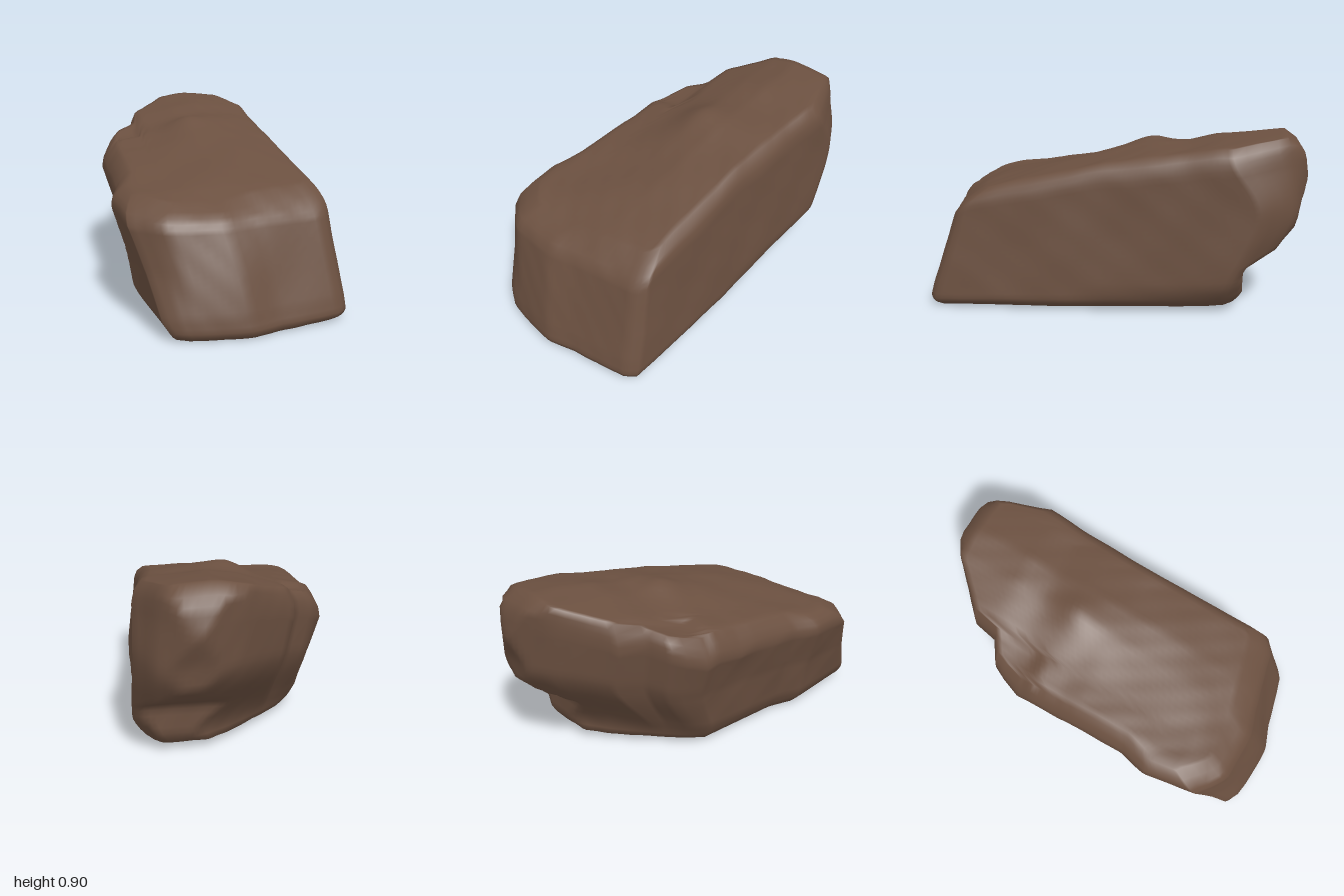
import * as THREE from 'three';
import { mergeVertices } from 'three/addons/utils/BufferGeometryUtils.js';

// Piecewise-linear curve through [position, value] pairs in ascending order
function curve(...pts) {
  return (p) => {
    if (p <= pts[0][0]) return pts[0][1];
    for (let i = 1; i < pts.length; i++) {
      const [a, va] = pts[i - 1], [b, vb] = pts[i];
      if (p <= b) return va + (vb - va) * (p - a) / (b - a);
    }
    return pts[pts.length - 1][1];
  };
}
const { lerp, clamp, smoothstep } = THREE.MathUtils;

// Front and back faces: z by height (0 bottom to 1 top), and z set-back by x
const frontByHeight = curve([0, 0.97], [0.05, 1], [0.2, 0.98], [0.5, 0.925], [0.85, 0.86], [0.94, 0.82], [1, 0.74]);
const frontInset = curve([-0.46, 0.06], [-0.4, 0.03], [-0.2, 0.01], [-0.05, 0], [0.1, 0.04], [0.45, 0.1], [0.5, 0.14]);
const backByHeight = curve([0, -0.65], [0.06, -0.69], [0.26, -0.69], [0.31, -0.78], [0.36, -0.87], [0.46, -0.95],
  [0.6, -0.96], [0.8, -1], [0.95, -0.96], [1, -0.88]);
const backOutline = curve([-0.46, -0.33], [-0.44, -0.4], [-0.4, -0.48], [-0.28, -0.55], [-0.25, -0.68], [0, -0.9],
  [0.13, -0.97], [0.2, -1], [0.27, -0.99], [0.4, -0.93], [0.5, -0.76]);
const baseOutline = curve([-0.46, -0.2], [-0.4, -0.27], [-0.3, -0.35], [-0.15, -0.46], [0, -0.56], [0.15, -0.65],
  [0.25, -0.69], [0.4, -0.69], [0.5, -0.6]);

// Left and right flanks
const rightFlank = curve([-1, 0.51], [0, 0.51], [0.86, 0.525]);
const rightInset = curve([0, 0.04], [0.05, 0], [0.5, 0.01], [0.9, 0.015], [0.96, 0.03], [1, 0.06]);
const rightUndercut = curve([-0.6, 0.06], [-0.2, 0.03], [0.2, 0]);
const leftFlank = curve([-1, -0.46], [-0.45, -0.46], [-0.25, -0.47], [0.3, -0.48], [0.45, -0.52], [0.7, -0.49], [0.95, -0.46]);
const leftInset = curve([0, 0.16], [0.05, 0.13], [0.15, 0.1], [0.5, 0.06], [0.85, 0], [0.94, 0.01], [1, 0.06]);

// Sloping top, its fall to either side, and the underside
const topHeight = curve([-1, 0.84], [-0.96, 0.88], [-0.89, 0.895], [-0.55, 0.86], [-0.4, 0.825], [-0.23, 0.805],
  [0, 0.765], [0.6, 0.615], [0.75, 0.56]);
const topFall = curve([-0.47, 0.16], [-0.4, 0.11], [-0.25, 0.085], [-0.1, 0.045], [0, 0.02], [0.15, 0], [0.4, 0.02], [0.5, 0.04]);
const underside = curve([-0.7, 0.05], [-0.5, 0.03], [0, 0.02], [0.6, 0.01], [1, 0]);

// Soft weathering, a smooth repeatable wobble
function wobble(x, y, z) {
  return 0.5 * Math.sin(7 * x + 5 * z + 1) * Math.sin(9 * y - 4 * z) +
    0.35 * Math.sin(15 * z + 8 * y + 2) * Math.sin(13 * x - 6 * y) +
    0.25 * Math.abs(Math.sin(21 * x + 17 * y - 11 * z));
}

function boulderGeometry() {
  const geo = new THREE.BoxGeometry(1, 1, 1, 32, 26, 48);
  const pos = geo.attributes.position;
  for (let i = 0; i < pos.count; i++) {
    const u = pos.getX(i) + 0.5, t = pos.getY(i) + 0.5, w = pos.getZ(i) + 0.5;
    const across = lerp(-0.46, 0.5, u);

    // Place along the length: front chamfered at its upper right-hand corner,
    // back slanting in towards the ground and chamfered at its upper left corner
    const front = frontByHeight(t) - frontInset(across) - 0.09 * t * smoothstep(-across, 0.3, 0.46);
    const outline = lerp(baseOutline(across), backOutline(across), smoothstep(t, 0, 0.6)) +
      0.14 * smoothstep(t, 0.6, 1) * smoothstep(across, 0.3, 0.5);
    const back = Math.max(backByHeight(t), outline);
    const z = lerp(back, front, w);

    // Place across, one flank leaning in at the front and curling under at the back
    const lean = 0.04 * t * smoothstep(z, -0.8, 0);
    const undercut = rightUndercut(z) * (1 - smoothstep(t, 0, 0.18));
    const x = lerp(leftFlank(z) + leftInset(t), rightFlank(z) - rightInset(t) - lean - undercut, u);

    // Place up, with a broken shelf at the back of the -x side and a knob in the middle
    let top = topHeight(z) - topFall(x) * clamp((0.8 - z) / 0.9, 0, 1);
    top -= 0.025 * smoothstep(-x, 0.2, 0.26) * smoothstep(-z, 0.24, 0.32);
    top += 0.045 * Math.exp(-((x / 0.12) ** 2) - ((z + 0.2) / 0.12) ** 2);
    const y = lerp(underside(z), top, t);

    const d = 0.014 * wobble(x, y, z);
    pos.setXYZ(i, x + d * (0.5 - u), y + d * (t - 0.3), z + d * (w - 0.5));
  }
  // Weld the box sides so the normals run smoothly around the edges
  geo.deleteAttribute('uv');
  geo.deleteAttribute('normal');
  const welded = mergeVertices(geo, 1e-5);
  welded.computeBoundingBox();
  welded.translate(0, -welded.boundingBox.min.y, 0);
  welded.computeVertexNormals();
  return welded;
}

export function createModel() {
  const group = new THREE.Group();
  group.name = 'rock';
  const brownStone = new THREE.MeshStandardMaterial({ color: 0x6b5040 });
  brownStone.name = 'brown stone';
  const boulder = new THREE.Mesh(boulderGeometry(), brownStone);
  boulder.name = 'boulder';
  group.add(boulder);
  return group;
}
